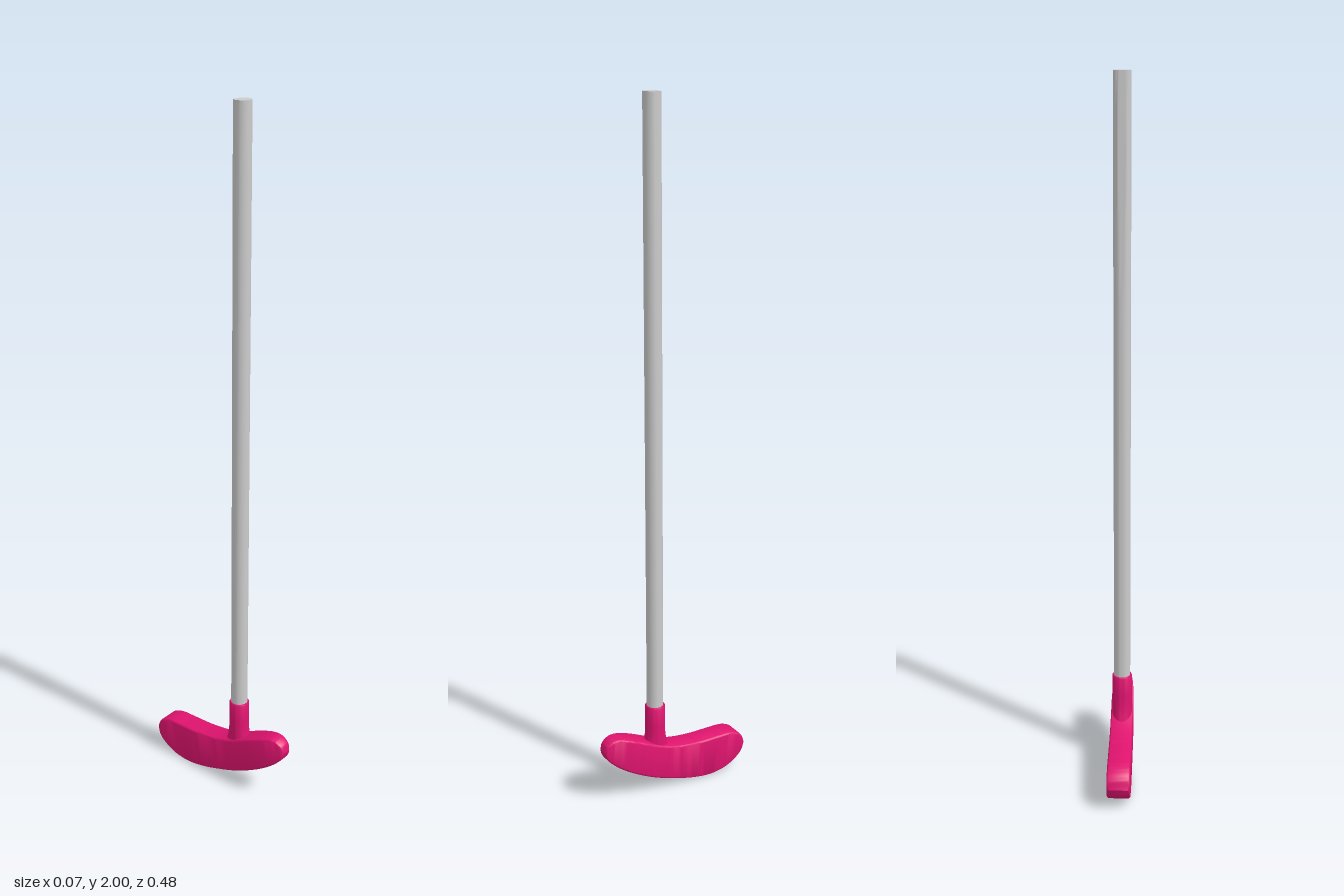
import * as THREE from 'three';
import { toCreasedNormals } from 'three/addons/utils/BufferGeometryUtils.js';

const SHAFT_Z = 0.061;

// Smooth a list of [z, y] pairs into n + 1 points.
function smooth(pairs, n) {
  const curve = new THREE.CatmullRomCurve3(pairs.map(([z, y]) => new THREE.Vector3(0, y, z)));
  return curve.getPoints(n);
}

// Curved head: rounded rectangular sections between an upper and a lower outline, toe to heel.
function headGeometry() {
  const n = 66, arc = 4;
  const upper = smooth([[0.238, 0.178], [0.229, 0.2], [0.205, 0.212], [0.175, 0.208], [0.13, 0.19], [0.06, 0.157],
    [0, 0.137], [-0.07, 0.127], [-0.14, 0.125], [-0.19, 0.122], [-0.224, 0.105], [-0.238, 0.073]], n);
  const lower = smooth([[0.238, 0.178], [0.231, 0.157], [0.215, 0.138], [0.185, 0.113], [0.14, 0.085], [0.07, 0.05],
    [0.01, 0.028], [-0.06, 0.008], [-0.12, 0.001], [-0.175, 0.011], [-0.22, 0.04], [-0.238, 0.073]], n);
  const positions = [], index = [], ring = 4 * (arc + 1);
  for (let i = 0; i <= n; i++) {
    const mid = upper[i].clone().add(lower[i]).multiplyScalar(0.5);
    const half = upper[i].clone().sub(lower[i]).multiplyScalar(0.5);
    const h = half.length();
    const up = h > 1e-6 ? half.divideScalar(h) : new THREE.Vector3(0, 1, 0);
    const r = Math.min(0.007, h);
    // The toe narrows; both ends are softly rounded.
    const t = Math.max(0, (mid.z - 0.1) / 0.138);
    const w = 0.033 * (1 - 0.48 * t * t) - 0.006 * (1 - Math.min(1, h / 0.03)) ** 2;
    for (let q = 0; q < 4; q++) {
      const sx = q === 0 || q === 3 ? 1 : -1, sy = q < 2 ? 1 : -1;
      for (let k = 0; k <= arc; k++) {
        const a = (q + k / arc) * Math.PI / 2;
        const p = mid.clone().addScaledVector(up, sy * (h - r) + r * Math.sin(a));
        positions.push(sx * (w - r) + r * Math.cos(a), p.y, p.z);
      }
    }
  }
  for (let i = 0; i < n; i++) {
    for (let j = 0; j < ring; j++) {
      const a = i * ring + j, c = i * ring + (j + 1) % ring;
      index.push(a, a + ring, c, c, a + ring, c + ring);
    }
  }
  const g = new THREE.BufferGeometry();
  g.setAttribute('position', new THREE.Float32BufferAttribute(positions, 3));
  g.setIndex(index);
  return toCreasedNormals(g, 0.6);
}

// Socket that flares front to back where it meets the head.
function socketGeometry() {
  const profile = [[0.029, 0.1], [0.029, 0.13], [0.029, 0.15], [0.029, 0.17], [0.029, 0.19], [0.029, 0.22],
    [0.029, 0.276], [0.027, 0.28], [0.023, 0.28]];
  const g = new THREE.LatheGeometry(profile.map(([r, y]) => new THREE.Vector2(r, y)), 32);
  const p = g.attributes.position;
  for (let i = 0; i < p.count; i++) {
    const t = Math.max(0, (0.21 - p.getY(i)) / 0.07);
    p.setZ(i, p.getZ(i) * (1 + 0.38 * Math.min(t * t, 1.4)));
  }
  return toCreasedNormals(g, 0.6);
}

// Straight shaft with a shallow flat on its back that fades in towards the top.
function shaftGeometry() {
  const r = 0.024, bottom = 0.2, top = 2;
  const g = new THREE.CylinderGeometry(r, r, top - bottom, 24, 18);
  g.translate(0, (top + bottom) / 2, 0);
  const p = g.attributes.position;
  for (let i = 0; i < p.count; i++) {
    const t = Math.max(0, (p.getY(i) - 1.4) / 0.6);
    p.setZ(i, Math.max(p.getZ(i), -r + 0.005 * t));
  }
  return toCreasedNormals(g, 0.4);
}

export function createModel() {
  const model = new THREE.Group();
  model.name = 'putter';
  const pink = new THREE.MeshStandardMaterial({ color: 0xe0146f });
  const grey = new THREE.MeshStandardMaterial({ color: 0xcccccc });
  const add = (name, geometry, material, z = 0) => {
    const mesh = new THREE.Mesh(geometry, material);
    mesh.name = name;
    mesh.position.z = z;
    model.add(mesh);
  };
  add('head', headGeometry(), pink);
  add('socket', socketGeometry(), pink, SHAFT_Z);
  add('shaft', shaftGeometry(), grey, SHAFT_Z);
  return model;
}
